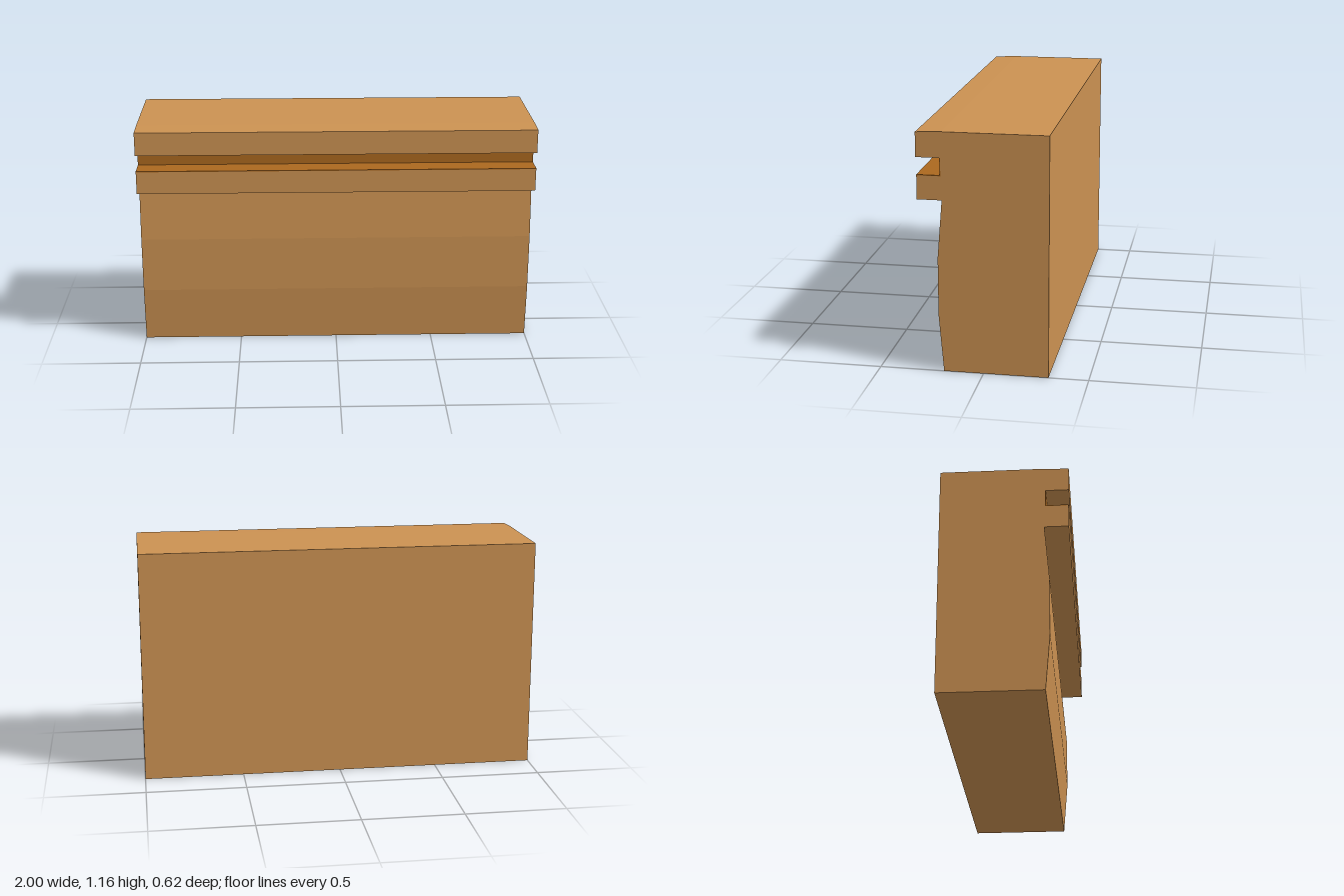
import * as THREE from 'three';

export function createModel() {
  const group = new THREE.Group();
  const wood = new THREE.MeshStandardMaterial({ color: 0xcc9252 });
  wood.name = 'light wood';
  const darkWood = new THREE.MeshStandardMaterial({ color: 0xab681f });
  darkWood.name = 'dark wood';

  const length = 2;
  const lining = 0.004; // thickness of the groove lining

  // Cross-section as [z, y]: bowed front, two ledges with a groove between
  const profile = [
    [-0.31, 0], [0.19, 0], [0.213, 0.28], [0.213, 0.56], [0.19, 0.84],
    [0.307, 0.84], [0.307, 0.958 - lining],
    [0.198 - lining, 0.958 - lining], [0.198 - lining, 1.04],
    [0.31, 1.04], [0.31, 1.158], [0.19, 1.163], [-0.31, 1.163],
  ];
  const shape = new THREE.Shape(profile.map(([z, y]) => new THREE.Vector2(z, y)));
  const bodyGeometry = new THREE.ExtrudeGeometry(shape, { depth: length, bevelEnabled: false });
  bodyGeometry.rotateY(-Math.PI / 2).translate(length / 2, 0, 0);
  const body = new THREE.Mesh(bodyGeometry, wood);
  body.name = 'counterBody';
  group.add(body);

  // Dark lining on the groove's back and floor
  const addLining = (name, z0, z1, y0, y1) => {
    const mesh = new THREE.Mesh(new THREE.BoxGeometry(length, y1 - y0, z1 - z0), darkWood);
    mesh.position.set(0, (y0 + y1) / 2, (z0 + z1) / 2);
    mesh.name = name;
    group.add(mesh);
  };
  addLining('grooveBack', 0.198 - lining, 0.198, 0.958, 1.04);
  addLining('grooveFloor', 0.198 - lining, 0.307, 0.958 - lining, 0.958);

  return group;
}
